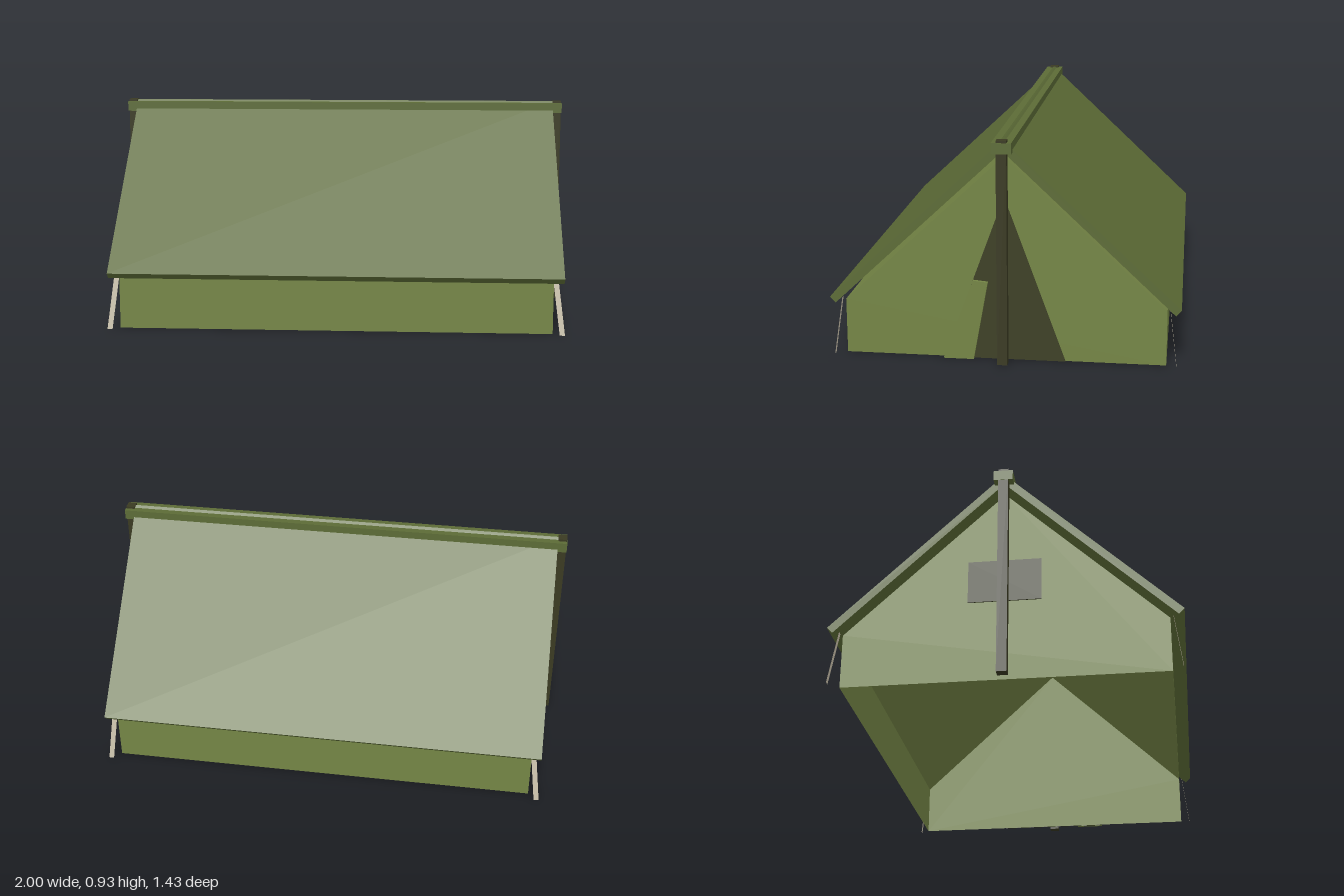
import * as THREE from 'three';

export function createModel() {
  const tent = new THREE.Group();
  tent.name = 'ridgeTent';

  const mat = (name, color, side = THREE.FrontSide) => {
    const m = new THREE.MeshStandardMaterial({ color, side });
    m.name = name;
    return m;
  };
  const canvas = mat('lightCanvas', 0x748545, THREE.DoubleSide);
  const roof = mat('oliveRoof', 0x5c6b36);
  const wood = mat('darkPole', 0x3a3a22);
  const dark = mat('darkOpening', 0x3d4025);
  const cord = mat('paleCord', 0xcdc4ae, THREE.DoubleSide);

  const add = (name, geometry, material, x = 0, y = 0, z = 0) => {
    const mesh = new THREE.Mesh(geometry, material);
    mesh.name = name;
    mesh.position.set(x, y, z);
    tent.add(mesh);
    return mesh;
  };
  // Outline given as [z, y] points, placed across the x axis
  const outline = (pts) => new THREE.Shape(pts.map(([z, y]) => new THREE.Vector2(-z, y)));
  const plate = (name, pts, x, depth, material) => {
    const g = new THREE.ExtrudeGeometry(outline(pts), { depth, bevelEnabled: false });
    add(name, g.rotateY(Math.PI / 2), material, x);
  };

  // Inner tent: two gables joined by walls and slopes, open underneath
  const endX = 0.92;
  const profile = [[0.658, 0], [0.658, 0.23], [0, 0.848], [-0.658, 0.23], [-0.658, 0]];
  const names = ['frontWall', 'frontInnerSlope', 'backInnerSlope', 'backWall'];
  for (const s of [1, -1]) {
    const g = new THREE.ShapeGeometry(outline(profile)).rotateY(s * Math.PI / 2);
    add(s > 0 ? 'leftGable' : 'rightGable', g, canvas, s * endX);
  }
  names.forEach((name, i) => {
    const [z0, y0] = profile[i], [z1, y1] = profile[i + 1];
    const g = new THREE.PlaneGeometry(2 * endX, Math.hypot(z1 - z0, y1 - y0));
    const sheet = add(name, g, canvas, 0, (y0 + y1) / 2, (z0 + z1) / 2);
    sheet.rotation.x = Math.atan2(z1 - z0, y1 - y0);
  });

  // Door opening with a folded flap, and a window at the other end
  plate('doorOpening', [[0.25, 0], [-0.25, 0], [0, 0.683]], endX + 0.002, 0.005, dark);
  plate('doorFlap', [[0.25, 0], [0.125, 0], [0.065, 0.33], [0.126, 0.336]], 0.93, 0.015, canvas);
  plate('window', [[0.15, 0.345], [-0.15, 0.345], [-0.15, 0.53], [0.15, 0.53]], -endX - 0.007, 0.005, dark);

  // Outer roof panels, leaning together under the ridge cap
  const pitch = Math.atan(0.94), length = 0.985;
  for (const s of [1, -1]) {
    const g = new THREE.BoxGeometry(1.92, length, 0.033);
    const y = 0.237 + Math.sin(pitch) * length / 2;
    const z = 0.7035 - Math.cos(pitch) * length / 2;
    const panel = add(s > 0 ? 'frontRoof' : 'backRoof', g, roof, 0, y, s * z);
    panel.rotation.x = -s * (Math.PI / 2 - pitch);
  }
  add('ridgeCap', new THREE.BoxGeometry(2, 0.044, 0.08), roof, 0, 0.894, 0);

  // End poles
  for (const s of [1, -1]) {
    add('endPole', new THREE.BoxGeometry(0.038, 0.925, 0.042), wood, s * 0.979, 0.4625, 0);
  }

  // Flat corner cords, splayed outward to the ground
  for (const sx of [1, -1]) for (const sz of [1, -1]) {
    const w = 0.011;
    const top = [sx * 0.926, 0.24, sz * 0.67], foot = [sx * 0.956, 0.005, sz * 0.7];
    const g = new THREE.PlaneGeometry(1, 1);
    [top, top, foot, foot].forEach(([x, y, z], i) =>
      g.attributes.position.setXYZ(i, x + (i % 2 ? w : -w), y, z));
    g.computeVertexNormals();
    add('cornerCord', g, cord);
  }

  return tent;
}
